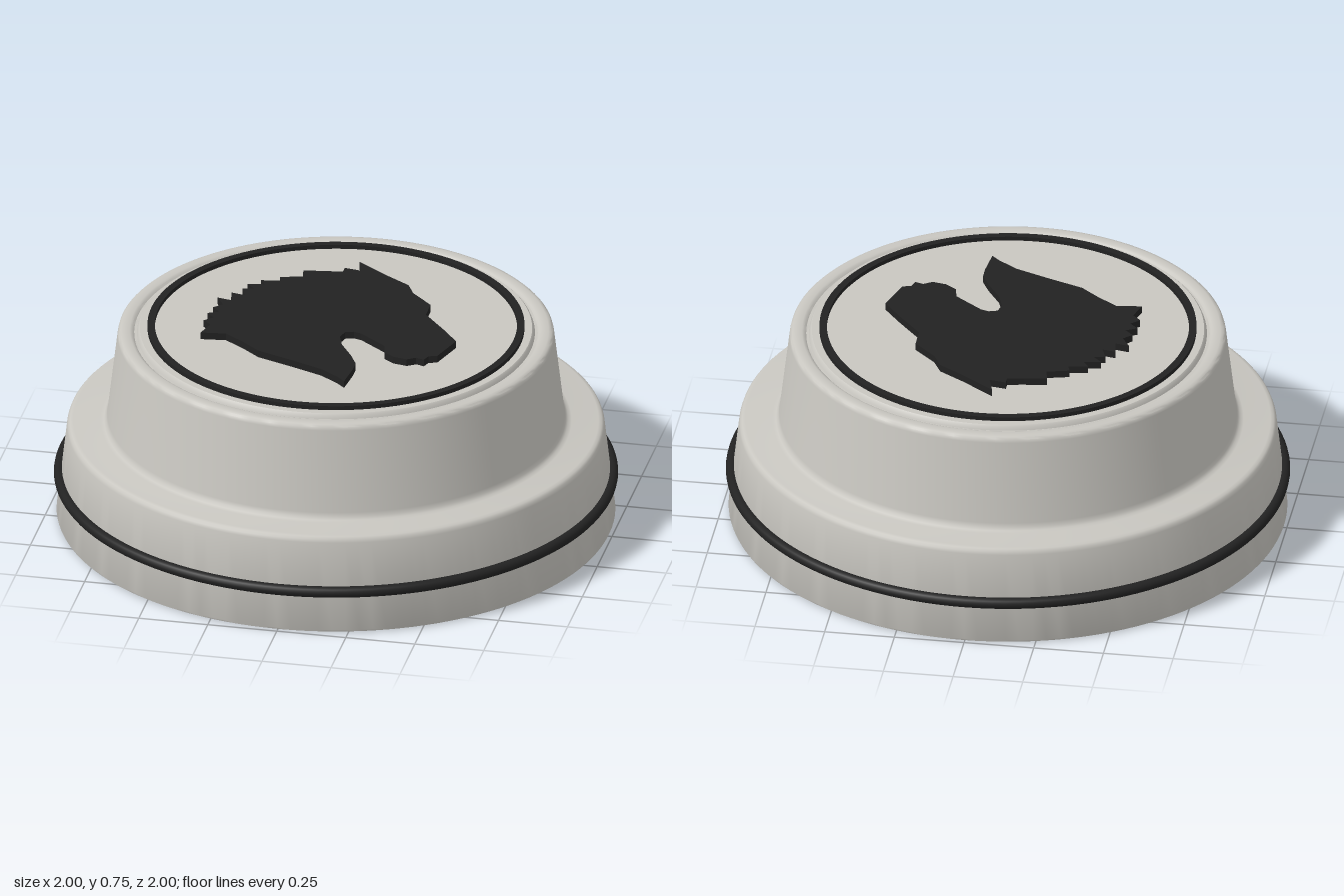
import * as THREE from 'three';
import { toCreasedNormals } from 'three/addons/utils/BufferGeometryUtils.js';

const SEGMENTS = 128;

export function createModel() {
  const model = new THREE.Group();
  model.name = 'steppedCap';

  const shell = new THREE.MeshStandardMaterial({ color: 0xc8c6c0 });
  shell.name = 'warm grey';
  const black = new THREE.MeshStandardMaterial({ color: 0x222222 });
  black.name = 'black';

  const add = (name, geometry, material) => {
    const mesh = new THREE.Mesh(geometry, material);
    mesh.name = name;
    model.add(mesh);
    return mesh;
  };

  // Turned ring or body from a profile running counter-clockwise
  const turn = (profile) => toCreasedNormals(
    new THREE.LatheGeometry(profile.map(([x, y]) => new THREE.Vector2(x, y)), SEGMENTS), 0.6);

  // Body: hollow underside, tapered skirt, ledge, tapered crown, raised top disc
  add('body', turn([
    [0, 0.4], [0.8, 0.4], [0.8, 0],
    [0.98, 0], [0.987, 0.003], [0.99, 0.01],
    [0.953, 0.335], [0.949, 0.347], [0.942, 0.354], [0.93, 0.357],
    [0.835, 0.357], [0.822, 0.361], [0.814, 0.37], [0.81, 0.385],
    [0.774, 0.69], [0.771, 0.702], [0.764, 0.709], [0.753, 0.712],
    [0.73, 0.712], [0.722, 0.709], [0.715, 0.702], [0.705, 0.702],
    [0.7, 0.715], [0.695, 0.72], [0, 0.72],
  ]), shell);

  // Band around the skirt
  const band = new THREE.TorusGeometry(0.98, 0.02, 16, SEGMENTS);
  band.rotateX(Math.PI / 2);
  add('skirtBand', band, black).position.y = 0.155;

  // Thin ring framing the top disc
  add('topRing', turn([
    [0.642, 0.718], [0.668, 0.718], [0.668, 0.735], [0.642, 0.735], [0.642, 0.718],
  ]), black);

  // Horse head silhouette, x and z in hundredths, clockwise from the ear
  const outline = [
    [-2, -49], [10, -40], [19, -34], [22, -28], [30, -20], [30, -12], [39, -1], [45, 7],
    [41, 20], [38, 21], [37, 24], [34, 23], [31, 25], [26, 24], [22, 21], [21, 16],
    [16, 12], [11, 8], [8, 7], [5, 8], [4, 12], [6, 18], [11, 26], [14, 32], [14, 37], [13, 47],
    [10, 44], [3, 39], [-9, 34], [-22, 29], [-29, 23], [-36, 18], [-45, 19],
    [-43, 12], [-46, 9], [-43, 6], [-46, 3], [-42, 1], [-45, -2], [-42, -5], [-45, -10],
    [-40, -9], [-41, -15], [-36, -14], [-38, -19], [-34, -20], [-37, -23], [-31, -24],
    [-33, -27], [-26, -28], [-27, -31], [-19, -33], [-20, -38], [-12, -39], [-6, -40],
    [-6, -43], [0, -42],
  ];
  const head = new THREE.ExtrudeGeometry(
    new THREE.Shape(outline.map(([x, z]) => new THREE.Vector2(x / 100, -z / 100))),
    { depth: 0.027, bevelEnabled: false });
  head.rotateX(-Math.PI / 2);
  add('horseHead', head, black).position.y = 0.719;

  return model;
}
